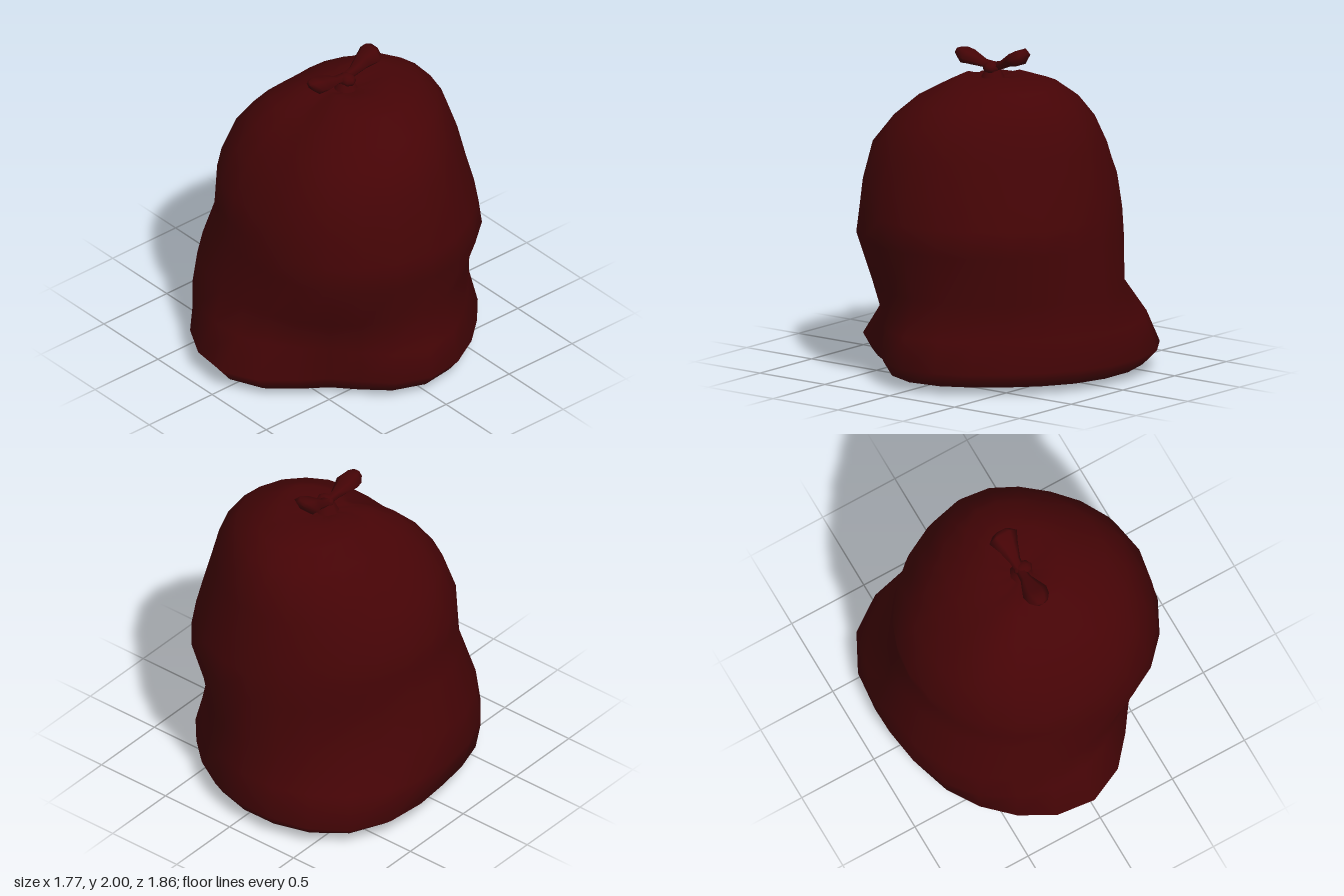
import * as THREE from 'three';

const material = new THREE.MeshStandardMaterial({ color: 0x450406, side: THREE.DoubleSide });

// Skin a list of closed rings (equal numbers of points) with smooth normals
function loft(rings) {
  const n = rings[0].length, index = [];
  for (let i = 0; i < rings.length - 1; i++) {
    for (let j = 0; j < n; j++) {
      const k = (j + 1) % n, a = i * n, b = a + n;
      index.push(a + j, b + j, a + k, a + k, b + j, b + k);
    }
  }
  const geometry = new THREE.BufferGeometry().setFromPoints(rings.flat());
  geometry.setIndex(index);
  geometry.computeVertexNormals();
  return geometry;
}

function addMesh(parent, name, geometry) {
  const mesh = new THREE.Mesh(geometry, material);
  mesh.name = name;
  parent.add(mesh);
  return mesh;
}

// Periodic Catmull-Rom through values spaced evenly around the circle
function around(values, turn) {
  const n = values.length, s = turn * n, i = Math.floor(s), t = s - i;
  const [a, b, c, d] = [-1, 0, 1, 2].map((o) => values[(i + o + n) % n]);
  return b + 0.5 * t * (c - a + t * (2 * a - 5 * b + 4 * c - d + t * (3 * (b - c) + d - a)));
}

// Height, then radius towards +x, +x+z, +z, -x+z, -x, -x-z, -z, +x-z
const sackLevels = [
  [0.01, 0.57, 0.52, 0.62, 0.62, 0.60, 0.74, 0.62, 0.60],
  [0.05, 0.81, 0.65, 0.86, 0.79, 0.73, 0.91, 0.86, 0.78],
  [0.14, 0.88, 0.69, 0.93, 0.88, 0.84, 1.01, 0.92, 0.84],
  [0.33, 0.85, 0.66, 0.79, 0.88, 0.89, 0.93, 0.88, 0.78],
  [0.55, 0.77, 0.73, 0.75, 0.85, 0.86, 0.78, 0.86, 0.78],
  [0.86, 0.88, 0.83, 0.73, 0.75, 0.79, 0.78, 0.84, 0.87],
  [1.02, 0.86, 0.81, 0.73, 0.74, 0.74, 0.77, 0.82, 0.84],
  [1.19, 0.84, 0.79, 0.69, 0.73, 0.76, 0.75, 0.79, 0.79],
  [1.42, 0.78, 0.73, 0.59, 0.65, 0.64, 0.67, 0.74, 0.73],
  [1.58, 0.71, 0.60, 0.45, 0.54, 0.50, 0.58, 0.69, 0.67],
  [1.70, 0.59, 0.45, 0.31, 0.41, 0.37, 0.47, 0.61, 0.60],
  [1.79, 0.42, 0.26, 0.13, 0.23, 0.22, 0.32, 0.50, 0.48],
  [1.83, 0.28, 0.15, 0.08, 0.11, 0.10, 0.16, 0.31, 0.33],
];

function sackGeometry() {
  const sides = 24;
  const ring = (fn) => Array.from({ length: sides }, (_, j) => fn(j / sides, (j / sides) * Math.PI * 2));
  const rings = sackLevels.map(([y, ...radii]) => ring((turn, angle) => {
    const r = around(radii, turn);
    // The shoulder leans up towards the back left, with faint pleats at the neck
    const lean = y > 1.8 ? 0.027 * Math.cos(angle + Math.PI / 4) + 0.005 * Math.cos(angle * 8) : 0;
    return new THREE.Vector3(r * Math.cos(angle), y + lean, r * Math.sin(angle));
  }));
  rings.unshift(ring(() => new THREE.Vector3(0, 0, 0)));
  // Neck tucked in under the knot
  rings.push(ring((turn, angle) => new THREE.Vector3(0.04 + 0.05 * Math.cos(angle), 1.8, -0.03 + 0.05 * Math.sin(angle))));
  return loft(rings);
}

// Tied ear from sections [z, y, half width, half height]
function earGeometry(sections, direction) {
  return loft(sections.map(([z, y, w, h]) => Array.from({ length: 6 }, (_, j) => {
    const angle = (j / 6) * Math.PI * 2;
    return new THREE.Vector3(0.03 + w * Math.cos(angle), y - direction * h * Math.sin(angle), z);
  })));
}

export function createModel() {
  const group = new THREE.Group();
  group.name = 'tiedSack';
  addMesh(group, 'sackBody', sackGeometry());

  // Gathered neck and knot
  const tie = new THREE.Group();
  tie.name = 'tie';
  group.add(tie);
  addMesh(tie, 'neck', new THREE.CylinderGeometry(0.045, 0.075, 0.06, 8)).position.set(0.04, 1.83, -0.03);
  const knot = addMesh(tie, 'knot', new THREE.SphereGeometry(1, 8, 6));
  knot.scale.set(0.06, 0.04, 0.05);
  knot.position.set(0.05, 1.865, -0.03);

  // Two flared ears
  addMesh(tie, 'frontEar', earGeometry([
    [-0.03, 1.87, 0.03, 0.03], [0.04, 1.88, 0.035, 0.025], [0.15, 1.905, 0.08, 0.042],
    [0.2, 1.91, 0.07, 0.05], [0.24, 1.925, 0.04, 0.028], [0.25, 1.93, 0, 0],
  ], 1));
  addMesh(tie, 'backEar', earGeometry([
    [-0.03, 1.87, 0.03, 0.03], [-0.09, 1.885, 0.035, 0.03], [-0.17, 1.93, 0.065, 0.045],
    [-0.235, 1.952, 0.095, 0.055], [-0.265, 1.965, 0.055, 0.035], [-0.27, 1.965, 0, 0],
  ], -1));
  return group;
}
